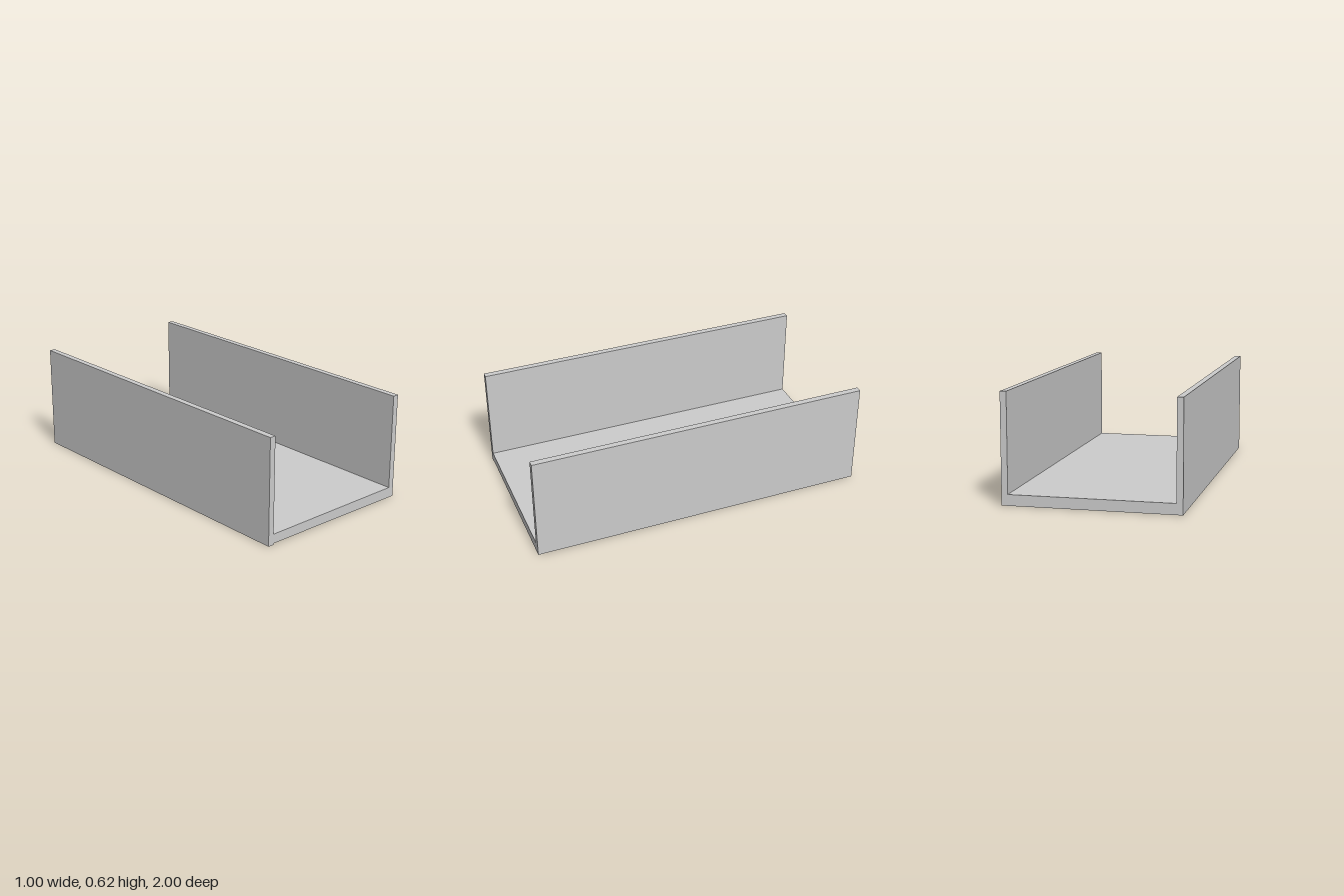
import * as THREE from 'three';

const LENGTH = 2, WIDTH = 1, HEIGHT = 0.625, FLOOR = 0.0625, WALL = 0.036;

export function createModel() {
  const group = new THREE.Group();
  const material = new THREE.MeshStandardMaterial({ color: 0xcccccc, flatShading: true });

  // Full-length board spanning x0..x1 and y0..y1
  const board = (name, x0, x1, y0, y1) => {
    const geometry = new THREE.BoxGeometry(x1 - x0, y1 - y0, LENGTH);
    geometry.translate((x0 + x1) / 2, (y0 + y1) / 2, 0);
    const mesh = new THREE.Mesh(geometry, material);
    mesh.name = name;
    group.add(mesh);
    return mesh;
  };

  // The right wall reaches the ground; the left wall stands on the floor board
  const half = WIDTH / 2;
  board('rightWall', -half, -half + WALL, 0, HEIGHT);
  board('leftWall', half - WALL, half, FLOOR, HEIGHT);
  const floor = board('floor', -half + WALL, half, 0, FLOOR);

  // The underside lifts slightly at its front right corner
  const p = floor.geometry.attributes.position;
  for (let i = 0; i < p.count; i++) {
    if (p.getX(i) < 0 && p.getY(i) < 0.01 && p.getZ(i) > 0) p.setY(i, 0.008);
  }
  floor.geometry.computeVertexNormals();

  return group;
}
